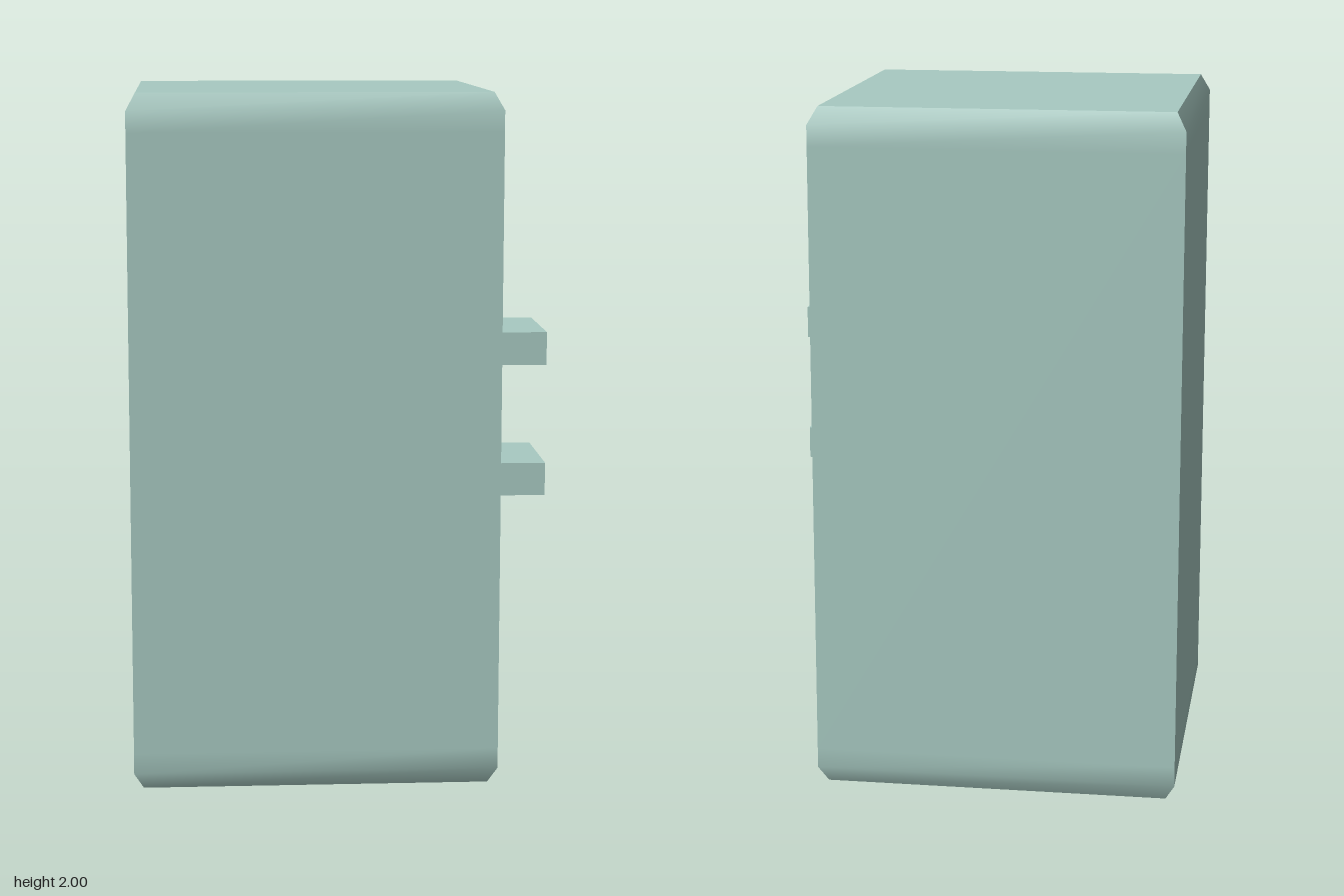
import * as THREE from 'three';

// Corner directions, counter-clockwise seen from above
const CORNERS = [[-1, 1], [1, 1], [1, -1], [-1, -1]];

// Profile of a wall, from the bottom up: [height, half width]
const PROFILE = [[0, 0.5], [0.05, 0.527], [0.11, 0.527], [1.89, 0.527], [1.95, 0.527], [2, 0.5]];

function surface(points, index) {
  const geometry = new THREE.BufferGeometry();
  geometry.setAttribute('position', new THREE.Float32BufferAttribute(points, 3));
  geometry.setIndex(index);
  geometry.computeVertexNormals();
  return geometry;
}

// One wall, smooth up its profile and sharp at its sides
function wallGeometry(side) {
  const ends = [CORNERS[side], CORNERS[(side + 1) % 4]];
  const points = [], index = [];
  PROFILE.forEach(([y, r], i) => {
    for (const [x, z] of ends) points.push(x * r, y, z * r);
    if (i === 0) return;
    const a = 2 * (i - 1);
    index.push(a, a + 1, a + 3, a, a + 3, a + 2);
  });
  return surface(points, index);
}

function capGeometry([y, r], up) {
  const points = CORNERS.flatMap(([x, z]) => [x * r, y, z * r]);
  return surface(points, up ? [0, 1, 2, 0, 2, 3] : [0, 2, 1, 0, 3, 2]);
}

export function createModel() {
  const model = new THREE.Group();
  const paleGreen = new THREE.MeshStandardMaterial({ color: 0xa8cac2 });
  paleGreen.name = 'pale green';

  const add = (parent, name, geometry) => {
    const mesh = new THREE.Mesh(geometry, paleGreen);
    mesh.name = name;
    parent.add(mesh);
    return mesh;
  };

  // Tall body with bevelled top and bottom rims
  const body = new THREE.Group();
  body.name = 'body';
  body.position.x = -0.073;
  ['frontWall', 'leftWall', 'backWall', 'rightWall'].forEach((name, i) => add(body, name, wallGeometry(i)));
  add(body, 'topPanel', capGeometry(PROFILE[PROFILE.length - 1], true));
  add(body, 'bottomPanel', capGeometry(PROFILE[0], false));
  model.add(body);

  // Two short blocks on the side
  [['lowerBlock', 0.882], ['upperBlock', 1.264]].forEach(([name, y]) => {
    add(model, name, new THREE.BoxGeometry(0.144, 0.095, 0.332)).position.set(0.525, y, 0.246);
  });

  return model;
}
